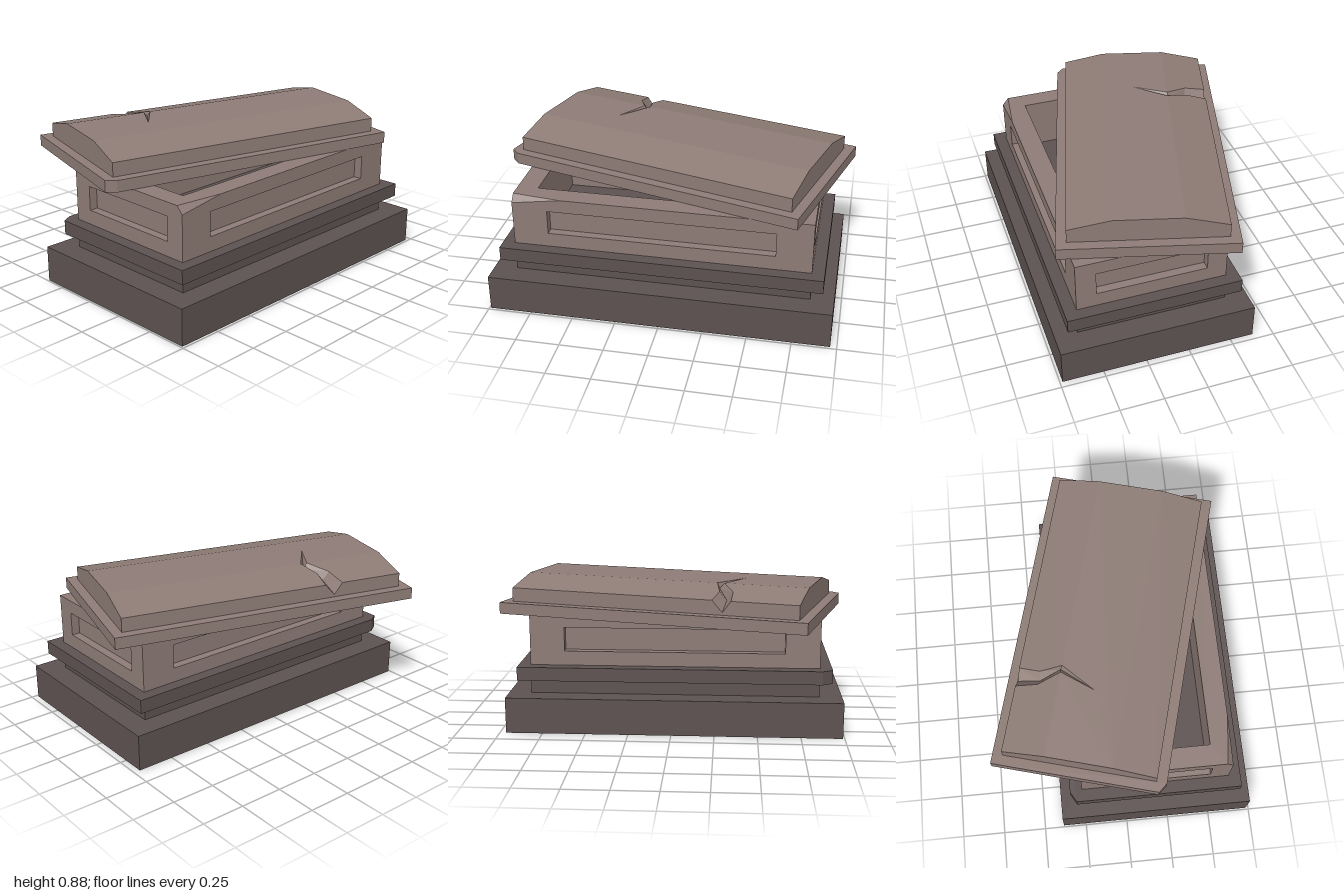
import * as THREE from 'three';

// Builds one faceted mesh out of flat polygons: each is [corners, outward normal, holes]
function facetedMesh(name, material, faces) {
  const pos = [];
  for (const [pts, normal, holes = []] of faces) {
    const n = new THREE.Vector3(...normal);
    const a = [Math.abs(n.x), Math.abs(n.y), Math.abs(n.z)];
    const drop = a.indexOf(Math.max(...a));
    const flat = (p) => new THREE.Vector2(...p.filter((_, i) => i !== drop));
    const all = [pts, ...holes].flat().map((p) => new THREE.Vector3(...p));
    const tris = THREE.ShapeUtils.triangulateShape(pts.map(flat), holes.map((h) => h.map(flat)));
    for (const t of tris) {
      let [p, q, r] = t.map((i) => all[i]);
      const dir = q.clone().sub(p).cross(r.clone().sub(p)).dot(n);
      if (dir < 0) [q, r] = [r, q];
      for (const v of [p, q, r]) pos.push(v.x, v.y, v.z);
    }
  }
  const g = new THREE.BufferGeometry();
  g.setAttribute('position', new THREE.Float32BufferAttribute(pos, 3));
  g.computeVertexNormals();
  const mesh = new THREE.Mesh(g, material);
  mesh.name = name;
  return mesh;
}

// Upright prism from an outline given as [x, z] corners
function slab(name, material, outline, y0, y1) {
  const shape = new THREE.Shape(outline.map(([x, z]) => new THREE.Vector2(x, -z)));
  const g = new THREE.ExtrudeGeometry(shape, { depth: y1 - y0, bevelEnabled: false });
  g.rotateX(-Math.PI / 2).translate(0, y0, 0);
  const mesh = new THREE.Mesh(g, material);
  mesh.name = name;
  return mesh;
}
const rect = (w, d) => [[-w, d], [w, d], [w, -d], [-w, -d]];

// Hollow chest with a recessed panel on every side and one chipped top corner
function buildChest(material) {
  const w = 0.43, d = 0.845, y0 = 0.38, y1 = 0.682, wi = 0.31, di = 0.725, recess = 0.05;
  const chipA = [w - 0.036, y1, d], chipB = [w, y1 - 0.042, d], chipC = [w, y1, d - 0.28];
  const faces = [
    [[[-w, y1, d], chipA, chipC, [w, y1, -d], [-w, y1, -d]], [0, 1, 0],
      [rect(wi, di).map(([x, z]) => [x, y1, z])]],
    [[chipA, chipB, chipC], [0.7, 0.7, 0.1]],
  ];
  const sides = [
    { n: [0, 0, 1], half: w, out: d, inn: di, innHalf: wi, panel: 0.316 },
    { n: [0, 0, -1], half: w, out: d, inn: di, innHalf: wi, panel: 0.316 },
    { n: [1, 0, 0], half: d, out: w, inn: wi, innHalf: di, panel: 0.643 },
    { n: [-1, 0, 0], half: d, out: w, inn: wi, innHalf: di, panel: 0.643 },
  ];
  for (const { n, half, out, inn, innHalf, panel } of sides) {
    const s = n[0] + n[2];
    const at = (u, y, depth) => (n[0] ? [s * depth, y, u] : [u, y, s * depth]);
    const frame = (h, a, b, depth) => [at(-h, a, depth), at(h, a, depth), at(h, b, depth), at(-h, b, depth)];
    let outer = frame(half, y0, y1, out);
    if (s > 0) {
      const chip = n[2] ? [chipB, chipA] : [chipB, chipC];
      outer = [outer[0], outer[1], ...chip, outer[3]];
    }
    const rim = frame(panel, 0.464, 0.604, out);
    const back = frame(panel, 0.464, 0.604, out - recess);
    faces.push([outer, n, [rim]], [back, n]);
    // recess edges face the middle of the panel
    const along = n[0] ? [0, 0, 1] : [1, 0, 0];
    const inward = [[0, 1, 0], along.map((v) => -v), [0, -1, 0], along];
    for (let i = 0; i < 4; i++) {
      const j = (i + 1) % 4;
      faces.push([[rim[i], rim[j], back[j], back[i]], inward[i]]);
    }
    // inner wall
    faces.push([frame(innHalf, y0, y1, inn), n.map((v) => -v)]);
  }
  return facetedMesh('chest', material, faces);
}

// Three-faceted lid crown split by a V-shaped crack on its left-hand slope
function buildCrown(material) {
  const w = 0.43, d = 0.848, r = 0.19, y0 = 0.75, y1 = 0.83, y2 = 0.885;
  const rear = [[-w, y1, 0.361], [-0.308, 0.858, 0.37], [-r, y2, 0.323]];
  const valley = [[-w, 0.765, 0.42], [-0.302, 0.81, 0.41], [-0.197, 0.855, 0.338]];
  const front = [[-w, y1, 0.469], [-0.307, 0.858, 0.447], [-r, y2, 0.363]];
  const tip = [0.011, y2, 0.433];
  const faces = [
    // left slope either side of the crack
    [[[-w, y1, -d], [-r, y2, -d], ...[...rear].reverse()], [-0.2, 1, 0]],
    [[...front, [-r, y2, d], [-w, y1, d]], [-0.2, 1, 0]],
    // flat ridge, right slope
    [[[-r, y2, -d], [r, y2, -d], [r, y2, d], [-r, y2, d], front[2], tip, rear[2]], [0, 1, 0]],
    [[[r, y2, -d], [w, y1, -d], [w, y1, d], [r, y2, d]], [0.2, 1, 0]],
    // side walls
    [[[w, y0, -d], [w, y0, d], [w, y1, d], [w, y1, -d]], [1, 0, 0]],
    [[[-w, y0, -d], [-w, y0, d], [-w, y1, d], front[0], valley[0], rear[0], [-w, y1, -d]], [-1, 0, 0]],
  ];
  for (const s of [-1, 1]) {
    faces.push([[[-w, y0, s * d], [w, y0, s * d], [w, y1, s * d], [r, y2, s * d],
      [-r, y2, s * d], [-w, y1, s * d]], [0, 0, s]]);
  }
  // crack walls
  for (const [edge, dir] of [[rear, 1], [front, -1]]) {
    const n = [0, 1, dir * 0.6];
    for (let i = 0; i < 2; i++) {
      faces.push([[edge[i], edge[i + 1], valley[i + 1]], n], [[edge[i], valley[i + 1], valley[i]], n]);
    }
    faces.push([[edge[2], tip, valley[2]], n]);
  }
  return facetedMesh('lidCrown', material, faces);
}

export function createModel() {
  const paleStone = new THREE.MeshStandardMaterial({ color: 0x8d7b75 });
  paleStone.name = 'paleStone';
  const darkStone = new THREE.MeshStandardMaterial({ color: 0x5c5150 });
  darkStone.name = 'darkStone';

  // Plinth and chest
  const tomb = new THREE.Group();
  tomb.name = 'tomb';
  tomb.position.set(0.175, 0, 0.0135);
  tomb.add(
    slab('plinth', darkStone, rect(0.56, 0.977), 0, 0.21),
    slab('neck', darkStone, rect(0.43, 0.845), 0.21, 0.3),
    slab('moulding', darkStone,
      [[-0.465, 0.915], [0.5, 0.915], [0.5, -0.915], [-0.5, -0.915], [-0.5, 0.855]], 0.3, 0.38),
    buildChest(paleStone),
  );

  // Lid, pushed askew
  const lid = new THREE.Group();
  lid.name = 'lid';
  lid.position.set(-0.03, 0, 0);
  lid.rotation.y = -0.269;
  lid.add(
    slab('lidRim', paleStone,
      [[-0.4875, 0.905], [0.4525, 0.905], [0.4875, 0.85], [0.4875, -0.905], [-0.4875, -0.905]], 0.684, 0.75),
    buildCrown(paleStone),
  );

  const model = new THREE.Group();
  model.name = 'stoneTomb';
  model.add(tomb, lid);
  return model;
}
